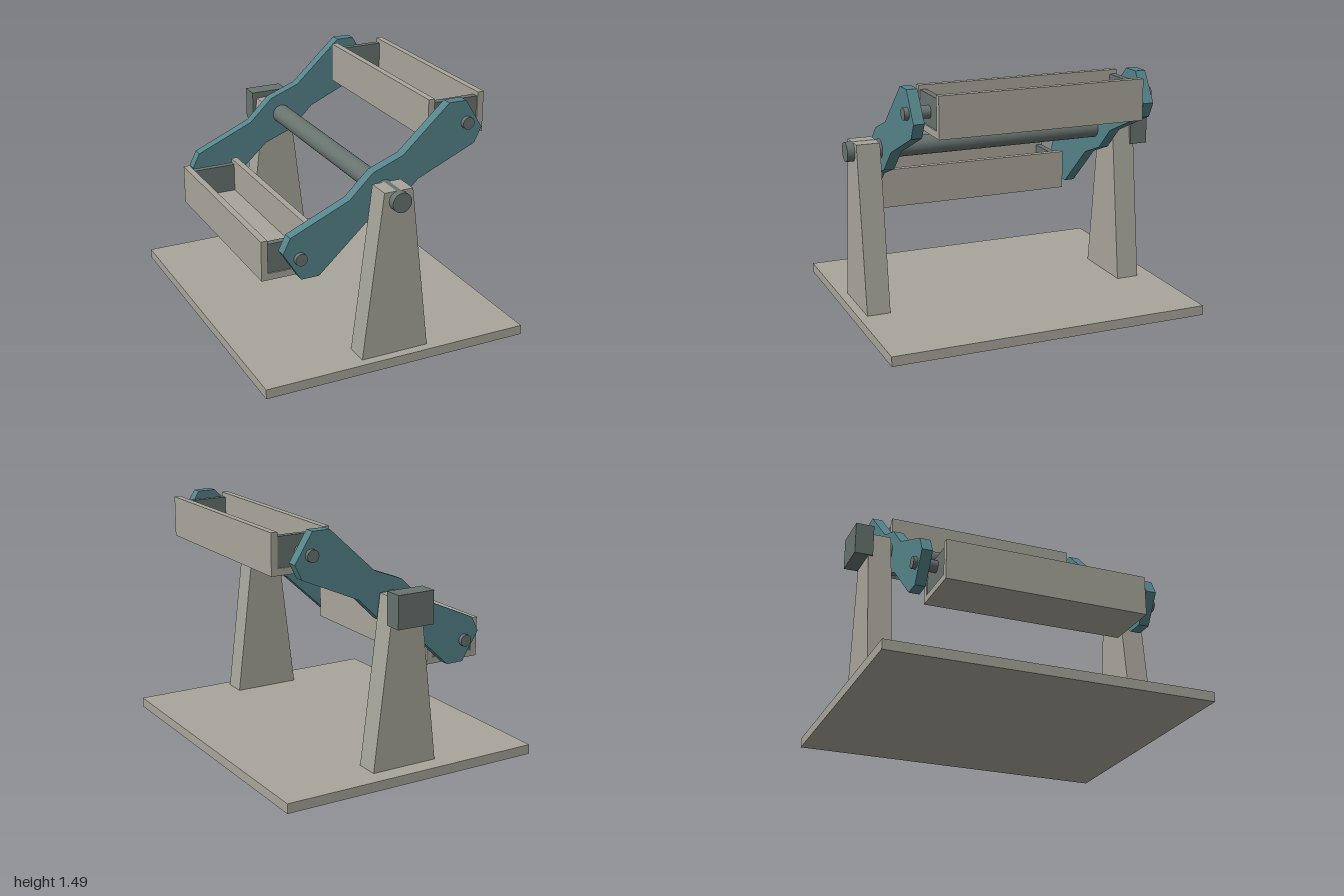
import * as THREE from 'three';

export function createModel() {
  const model = new THREE.Group();
  model.name = 'rotatingTrayRig';

  const mat = (name, color) => {
    const m = new THREE.MeshStandardMaterial({ color });
    m.name = name;
    return m;
  };
  const stone = mat('warm grey', 0xa8a69b);
  const teal = mat('teal', 0x55858a);
  const steel = mat('dark steel', 0x68736f);

  const add = (name, geometry, material, parent = model) => {
    const mesh = new THREE.Mesh(geometry, material);
    mesh.name = name;
    parent.add(mesh);
    return mesh;
  };
  // Box given by its limits on each axis
  const box = (name, x0, x1, y0, y1, z0, z1, material, parent) =>
    add(name, new THREE.BoxGeometry(x1 - x0, y1 - y0, z1 - z0), material, parent)
      .position.set((x0 + x1) / 2, (y0 + y1) / 2, (z0 + z1) / 2);
  // Round bar along z
  const bar = (name, x, y, r, z0, z1) =>
    add(name, new THREE.CylinderGeometry(r, r, z1 - z0, 32).rotateX(Math.PI / 2), steel)
      .position.set(x, y, (z0 + z1) / 2);
  // Flat outline in x and y, extruded from z0 to z1
  const plate = (name, points, z0, z1, material) => {
    const shape = new THREE.Shape(points.map(([x, y]) => new THREE.Vector2(x, y)));
    const geometry = new THREE.ExtrudeGeometry(shape, { depth: z1 - z0, bevelEnabled: false });
    add(name, geometry.translate(0, 0, z0), material);
  };

  const axisY = 1.029;

  // Base and the two tapered towers
  box('base', -0.845, 0.845, 0, 0.06, -1, 1, stone);
  const tower = [[-0.215, 0.06], [0.215, 0.06], [0.09, 1.087], [-0.09, 1.087]];
  plate('frontTower', tower, 0.8, 0.945, stone);
  plate('backTower', tower, -0.89, -0.745, stone);

  // Main shaft and drive block
  bar('mainShaft', 0, axisY, 0.06, -0.88, 0.99);
  box('driveBlock', -0.12, 0.12, 0.927, 1.127, -0.977, -0.863, steel);

  // Arms: half the outline, repeated by a half turn about the shaft
  const half = [[-0.633, -0.28], [-0.587, -0.188], [-0.22, -0.027], [-0.073, 0.115],
    [0.117, 0.188], [0.411, 0.457], [0.522, 0.457]];
  const arm = [1, -1].flatMap((s) => half.map(([x, y]) => [s * x, axisY + s * y]));
  plate('frontArm', arm, 0.71, 0.775, teal);
  plate('backArm', arm, -0.725, -0.66, teal);

  // Trays hung between the arms on pins
  for (const side of [1, -1]) {
    const label = side > 0 ? 'left' : 'right';
    const px = side * 0.53;
    const py = axisY + side * 0.34;
    bar(label + 'FrontPin', px, py - 0.017 * side, 0.037, 0.63, 0.802);
    bar(label + 'BackPin', px, py - 0.017 * side, 0.037, -0.75, -0.58);

    const tray = new THREE.Group();
    tray.name = label + 'Tray';
    tray.position.set(px, side > 0 ? 1.23 : 0.547, 0);
    model.add(tray);
    const z0 = -0.608, z1 = 0.656;
    box('trayFloor', -0.185, 0.185, 0, 0.041, z0, z1, stone, tray);
    box('trayWallLeft', 0.145, 0.185, 0.041, 0.247, z0, z1, stone, tray);
    box('trayWallRight', -0.185, -0.145, 0.041, 0.247, z0, z1, stone, tray);
    box('trayEndFront', -0.145, 0.145, 0.041, 0.221, 0.607, 0.647, steel, tray);
    box('trayEndBack', -0.145, 0.145, 0.041, 0.221, -0.602, -0.562, steel, tray);
  }

  return model;
}
